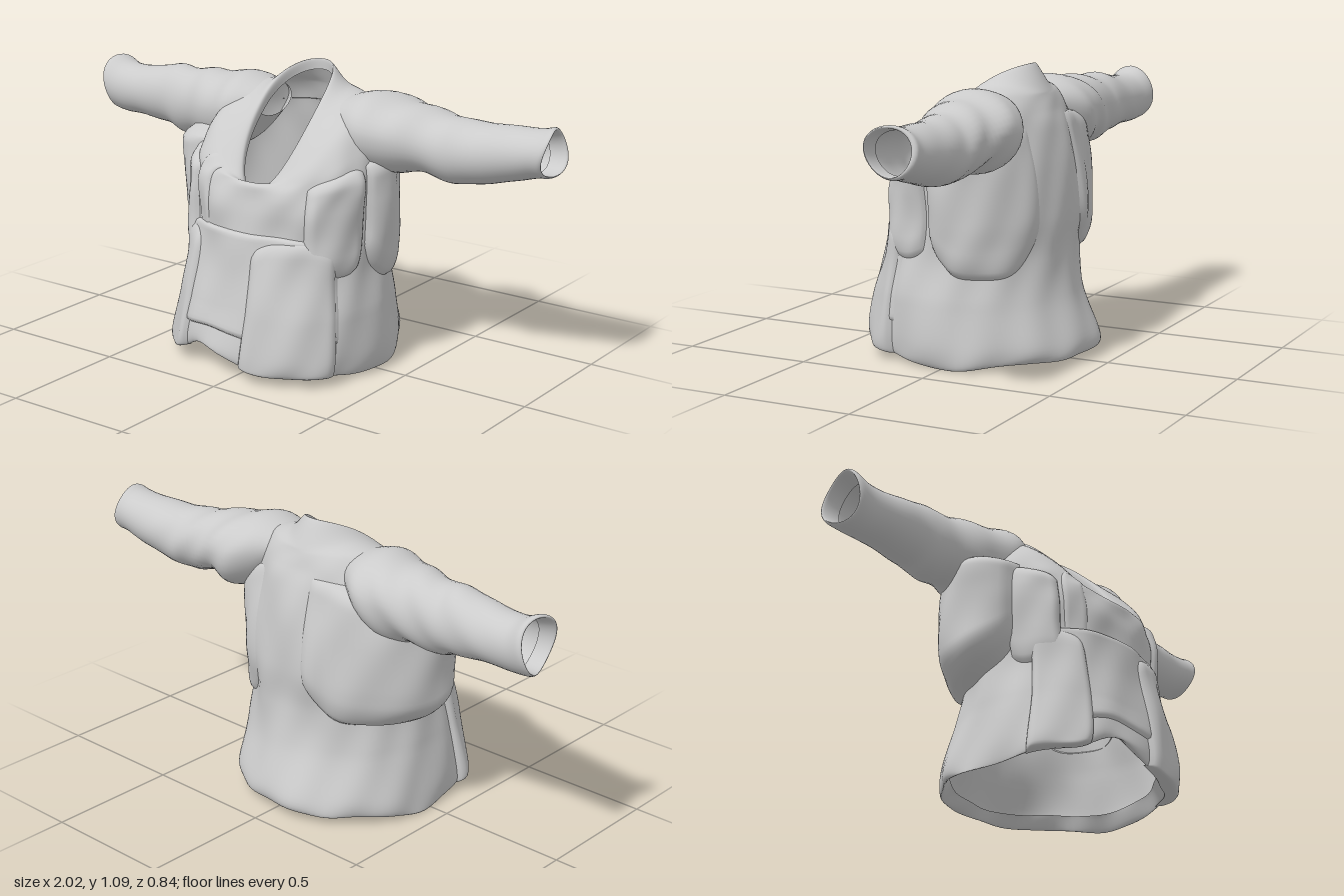
import * as THREE from 'three';

const cloth = new THREE.MeshStandardMaterial({ color: 0xcccccc, side: THREE.DoubleSide });

// Body cross-sections, hem to collar: yFront, yBack, zFront, zBack, halfWidth, side lift
const BODY = [
  [0.08, 0.07, 0.35, -0.37, 0.36, 0],
  [0.035, 0.03, 0.385, -0.405, 0.395, -0.015],
  [0.09, 0.08, 0.395, -0.42, 0.405, 0],
  [0.25, 0.25, 0.365, -0.355, 0.385, 0],
  [0.40, 0.40, 0.33, -0.335, 0.36, 0],
  [0.52, 0.55, 0.312, -0.345, 0.36, 0],
  [0.62, 0.72, 0.308, -0.33, 0.365, 0],
  [0.69, 0.86, 0.292, -0.30, 0.365, 0],
  [0.715, 0.93, 0.278, -0.275, 0.345, 0.04],
  [0.715, 0.975, 0.265, -0.255, 0.285, 0.10],
  [0.70, 1.005, 0.255, -0.24, 0.18, 0.115],
  [0.685, 1.09, 0.245, -0.19, 0.125, 0.075],
  [0.67, 1.05, 0.23, -0.185, 0.12, 0.06],
];

// Sleeve cross-sections, shoulder to cuff: |x|, yCentre, zCentre, yRadius, zRadius
const LEFT_SLEEVE = [
  [0.17, 0.93, -0.10, 0.06, 0.11],
  [0.27, 0.90, -0.11, 0.12, 0.17],
  [0.36, 0.885, -0.125, 0.125, 0.19],
  [0.47, 0.875, -0.13, 0.115, 0.155],
  [0.60, 0.85, -0.14, 0.118, 0.135],
  [0.68, 0.845, -0.145, 0.115, 0.125],
  [0.85, 0.865, -0.16, 0.098, 0.108],
  [0.94, 0.88, -0.16, 0.088, 0.10],
  [0.985, 0.888, -0.16, 0.09, 0.10],
  [0.99, 0.888, -0.155, 0.08, 0.085],
  [0.93, 0.88, -0.155, 0.075, 0.082],
];
const RIGHT_SLEEVE = [
  [0.17, 0.93, -0.10, 0.06, 0.11],
  [0.27, 0.90, -0.11, 0.12, 0.17],
  [0.36, 0.88, -0.12, 0.13, 0.17],
  [0.47, 0.87, -0.13, 0.13, 0.14],
  [0.60, 0.86, -0.14, 0.13, 0.115],
  [0.68, 0.87, -0.145, 0.12, 0.11],
  [0.82, 0.865, -0.15, 0.10, 0.10],
  [0.92, 0.865, -0.155, 0.10, 0.095],
  [0.985, 0.88, -0.16, 0.108, 0.10],
  [0.995, 0.88, -0.16, 0.098, 0.088],
  [0.93, 0.87, -0.155, 0.088, 0.082],
];

const spow = (v, p) => Math.sign(v) * Math.abs(v) ** p;
const bump = (x, centre, width) => Math.exp(-(((x - centre) / width) ** 2));

// Catmull-Rom blend of a table of sections at fractional row v
function sample(rows, v) {
  const i = Math.min(Math.floor(v), rows.length - 2), t = v - i;
  const row = (k) => rows[Math.max(0, Math.min(rows.length - 1, k))];
  return rows[i].map((b, k) => {
    const a = row(i - 1)[k], c = row(i + 1)[k], d = row(i + 2)[k];
    return b + 0.5 * t * (c - a + t * (2 * a - 5 * b + 4 * c - d + t * (3 * (b - c) + d - a)));
  });
}

// Point on the body: angle a from the front towards +x, row v, offset outwards
function bodyPoint(a, v, out = 0) {
  const [yF, yB, zF, zB, hx, lift] = sample(BODY, v);
  const s = Math.sin(a), c = Math.cos(a), hz = (zF - zB) / 2;
  const cloak = Math.min(1, Math.max(0, (9.5 - v) / 3));
  const fold = cloak * (0.005 * Math.sin(7 * a + 1.7 * v) + 0.003 * Math.sin(13 * a - 2.3 * v));
  // boxy in front, rounder across the back
  const power = 0.91 - 0.08 * Math.tanh(4 * c);
  const z = (zF + zB) / 2 + hz * spow(c, power);
  let y = yF + (yB - yF) * (zF - z) / (zF - zB) + lift * s * s;
  // notch in the front hem and a wavy hem line
  const low = Math.max(0, 1 - Math.max(0, v - 1) / 2);
  y += low * (0.075 * bump(a, -0.25, 0.28) + 0.015 * Math.cos(4 * a - Math.PI) * s * s);
  const x = hx * spow(s, power) - 0.02 * low - 0.006;
  return [x + (out + fold) * s, y, z + (out + fold) * c];
}

// Grid surface from f(u, v) with u and v in 0..1
function surface(name, nu, nv, f, closed = false) {
  const pos = [], index = [], cols = closed ? nu : nu + 1;
  for (let j = 0; j <= nv; j++)
    for (let i = 0; i < cols; i++) pos.push(...f(i / nu, j / nv));
  for (let j = 0; j < nv; j++)
    for (let i = 0; i < nu; i++) {
      const k = (i + 1) % cols, p = j * cols, q = p + cols;
      index.push(p + i, p + k, q + k, p + i, q + k, q + i);
    }
  const geo = new THREE.BufferGeometry();
  geo.setAttribute('position', new THREE.Float32BufferAttribute(pos, 3));
  geo.setIndex(index);
  geo.computeVertexNormals();
  const mesh = new THREE.Mesh(geo, cloth);
  mesh.name = name;
  return mesh;
}

// Padded layer on the body; depth(a) is its thickness, its ends curve in by sag (below) and dip (above)
function layer(name, [a0, a1], [v0, v1], depth, { sag = 0, dip = 0, edge = 0.18 } = {}) {
  const ease = (t) => Math.sin(Math.min(1, Math.min(t, 1 - t) / edge) * Math.PI / 2);
  return surface(name, 32, 32, (u, t) => {
    const a = a0 + (a1 - a0) * u, bend = (2 * u - 1) ** 4;
    const start = v0 + sag * bend, end = v1 - dip * bend;
    const out = -0.008 + (depth(a) + 0.008) * Math.sqrt(Math.max(0, ease(u) * ease(t)));
    return bodyPoint(a, start + (end - start) * t, out);
  });
}

function sleeve(name, rows, side) {
  return surface(name, 36, 60, (u, t) => {
    const [x, yc, zc, ry, rz] = sample(rows, t * (rows.length - 1));
    const b = side * u * Math.PI * 2;
    // slanting creases, strongest around the elbow and armpit
    const k = 1 + 0.035 * bump(x, 0.5, 0.25) * Math.sin(38 * x + 2 * Math.cos(b) + 2 * b);
    const sagging = 0.03 * bump(x, 0.36, 0.1) * Math.max(0, -Math.cos(b));
    return [side * (x + 0.012 * Math.sin(2 * b) * bump(x, 1, 0.1)),
      yc + ry * k * Math.cos(b) - sagging, zc + rz * k * Math.sin(b)];
  }, true);
}

export function createModel() {
  const group = new THREE.Group();
  group.name = 'jacket';

  // Main shell, open at the hem and the scooped neck
  group.add(surface('bodyShell', 96, 96,
    (u, t) => bodyPoint((u * 2 - 1) * Math.PI, t * (BODY.length - 1)), true));

  // Sleeves with turned-in cuffs
  group.add(sleeve('leftSleeve', LEFT_SLEEVE, 1));
  group.add(sleeve('rightSleeve', RIGHT_SLEEVE, -1));

  // Lower front: a wide overlapping band with a thicker panel each side of the centre
  group.add(layer('frontBand', [-1.15, 1.1], [2.4, 5.2], () => 0.014, { dip: 0.7, edge: 0.06 }));
  group.add(layer('leftFrontPanel', [0.07, 1.05], [0.9, 5.1], () => 0.03, { dip: 0.5, edge: 0.12 }));
  group.add(layer('rightFrontPanel', [-1.15, -0.5], [0.9, 5.0], () => 0.028, { dip: 0.4, edge: 0.14 }));

  // Side drapes beneath the arms, thinning out towards the back
  const drape = (thick) => (a) => thick * Math.max(0.2, Math.sin(a) ** 2);
  group.add(layer('leftSideDrape', [1.4, 2.65], [3.55, 7.4], drape(0.045), { sag: 1.2 }));
  group.add(layer('rightSideDrape', [-2.95, -1.25], [3.8, 7.7], drape(0.135), { sag: 1.2, edge: 0.2 }));

  // Chest pouches and the placket fold on one side of the chest
  group.add(layer('leftChestPouch', [0.62, 1.38], [3.9, 7.6], () => 0.028, { sag: 0.3, dip: 0.4 }));
  group.add(layer('rightChestPouch', [-1.38, -0.75], [3.9, 7.6], () => 0.03, { sag: 0.3, dip: 0.4 }));
  group.add(layer('placketFold', [-0.72, -0.42], [4.6, 9.4], () => 0.008, { edge: 0.25 }));
  return group;
}
